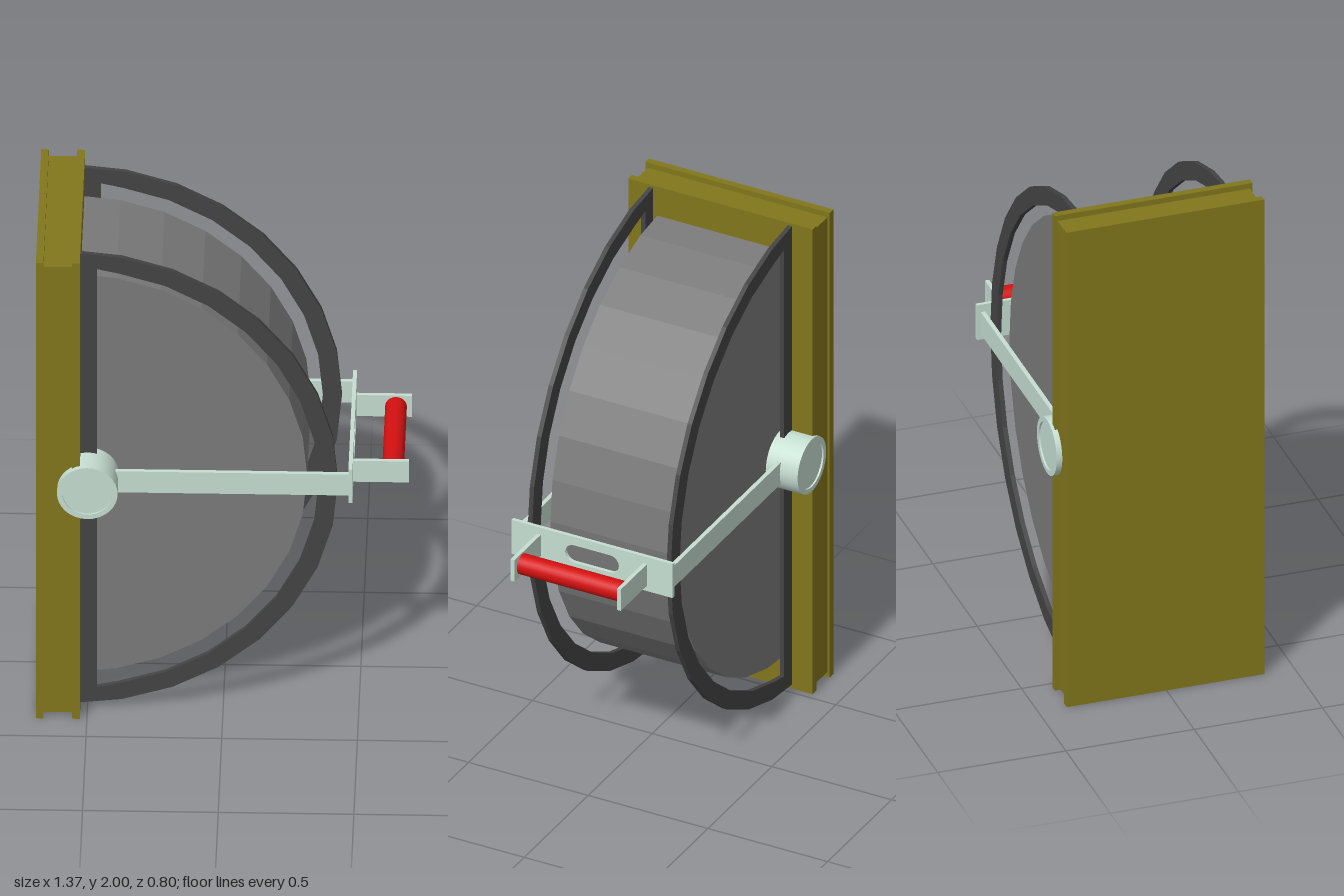
import * as THREE from 'three';

const OLIVE = 0x82761c, GREY = 0x7a7a7a, DARK = 0x444444, PALE = 0xc6ded2, RED = 0xd41010;
const CY = 1.003, CX = -0.565, Z0 = -0.004;

const mat = (color, flatShading = false) => new THREE.MeshStandardMaterial({ color, flatShading });

function add(parent, name, geo, material, x = 0, y = 0, z = 0) {
  const mesh = new THREE.Mesh(geo, material);
  mesh.name = name;
  mesh.position.set(x, y, z);
  parent.add(mesh);
  return mesh;
}

// Box given by its limits in x and y, plus its centre and size in z
function slab(parent, name, material, x0, x1, y0, y1, z, depth) {
  return add(parent, name, new THREE.BoxGeometry(x1 - x0, y1 - y0, depth), material,
    (x0 + x1) / 2, (y0 + y1) / 2, z);
}

// Faceted half disc outline, cut off straight at minX
function halfDisc(radius, minX) {
  const pts = [];
  for (let i = -8; i <= 8; i++) {
    const a = i * Math.PI / 16;
    pts.push(new THREE.Vector2(Math.max(minX, CX + radius * Math.cos(a)), CY + radius * Math.sin(a)));
  }
  return pts;
}

function extrude(shape, depth, curveSegments = 8) {
  const geo = new THREE.ExtrudeGeometry(shape, { depth, bevelEnabled: false, curveSegments });
  geo.translate(0, 0, -depth / 2);
  return geo;
}

export function createModel() {
  const model = new THREE.Group();
  model.name = 'halfDrumWithHandle';
  const olive = mat(OLIVE), grey = mat(GREY, true), dark = mat(DARK, true);
  const pale = mat(PALE), red = mat(RED);

  // Back block: two plates with a slightly recessed core
  const back = new THREE.Group();
  back.name = 'backBlock';
  model.add(back);
  slab(back, 'rearPlate', olive, -0.688, -0.66, 0, 2, Z0, 0.77);
  slab(back, 'core', olive, -0.66, -0.555, 0.022, 1.978, Z0, 0.75);
  slab(back, 'frontPlate', olive, -0.555, -0.526, 0, 2, Z0, 0.77);

  // Half drum
  add(model, 'drum', extrude(new THREE.Shape(halfDisc(0.874, -0.545)), 0.528), grey, 0, 0, Z0);

  // D-shaped guard rings on both sides
  const ring = new THREE.Shape(halfDisc(0.988, -0.545));
  ring.holes.push(new THREE.Path(halfDisc(0.918, -0.465).reverse()));
  const ringGeo = extrude(ring, 0.018);

  // Pivot with a shallow recess in its end
  const pivotGeo = new THREE.LatheGeometry([
    [0, 0.25], [0.112, 0.25], [0.112, 0.25], [0.112, 0.401], [0.112, 0.401], [0.092, 0.401],
    [0.092, 0.401], [0.092, 0.394], [0.092, 0.394], [0, 0.394],
  ].map(([r, h]) => new THREE.Vector2(r, h)), 32);
  pivotGeo.rotateX(Math.PI / 2);

  // Paired parts
  for (const [side, s] of [['front', 1], ['rear', -1]]) {
    add(model, side + 'GuardRing', ringGeo, dark, 0, 0, Z0 + s * 0.29);
    const pivot = add(model, side + 'Pivot', pivotGeo, pale, -0.498, CY);
    if (s < 0) pivot.rotation.y = Math.PI;
    slab(model, side + 'Arm', pale, -0.45, 0.465, 0.957, 1.049, Z0 + s * 0.314, 0.017);
    slab(model, side + 'HandleBracket', pale, 0.476, 0.683, 0.958, 1.05, Z0 + s * 0.222, 0.016);
  }

  // Cross plate with a rounded slot
  const plate = new THREE.Shape();
  plate.moveTo(-0.337, -0.073).lineTo(0.337, -0.073).lineTo(0.337, 0.073).lineTo(-0.337, 0.073);
  const slot = new THREE.Path();
  slot.absarc(0.075, 0, 0.037, -Math.PI / 2, Math.PI / 2, false);
  slot.absarc(-0.075, 0, 0.037, Math.PI / 2, Math.PI * 1.5, false);
  plate.holes.push(slot);
  const plateGeo = extrude(plate, 0.015);
  plateGeo.rotateY(Math.PI / 2);
  add(model, 'crossPlate', plateGeo, pale, 0.47, 1.007, Z0);

  // Grip between the brackets
  const grip = add(model, 'grip', new THREE.CylinderGeometry(0.04, 0.04, 0.43, 24), red, 0.624, 1.004, Z0);
  grip.rotation.x = Math.PI / 2;

  return model;
}
